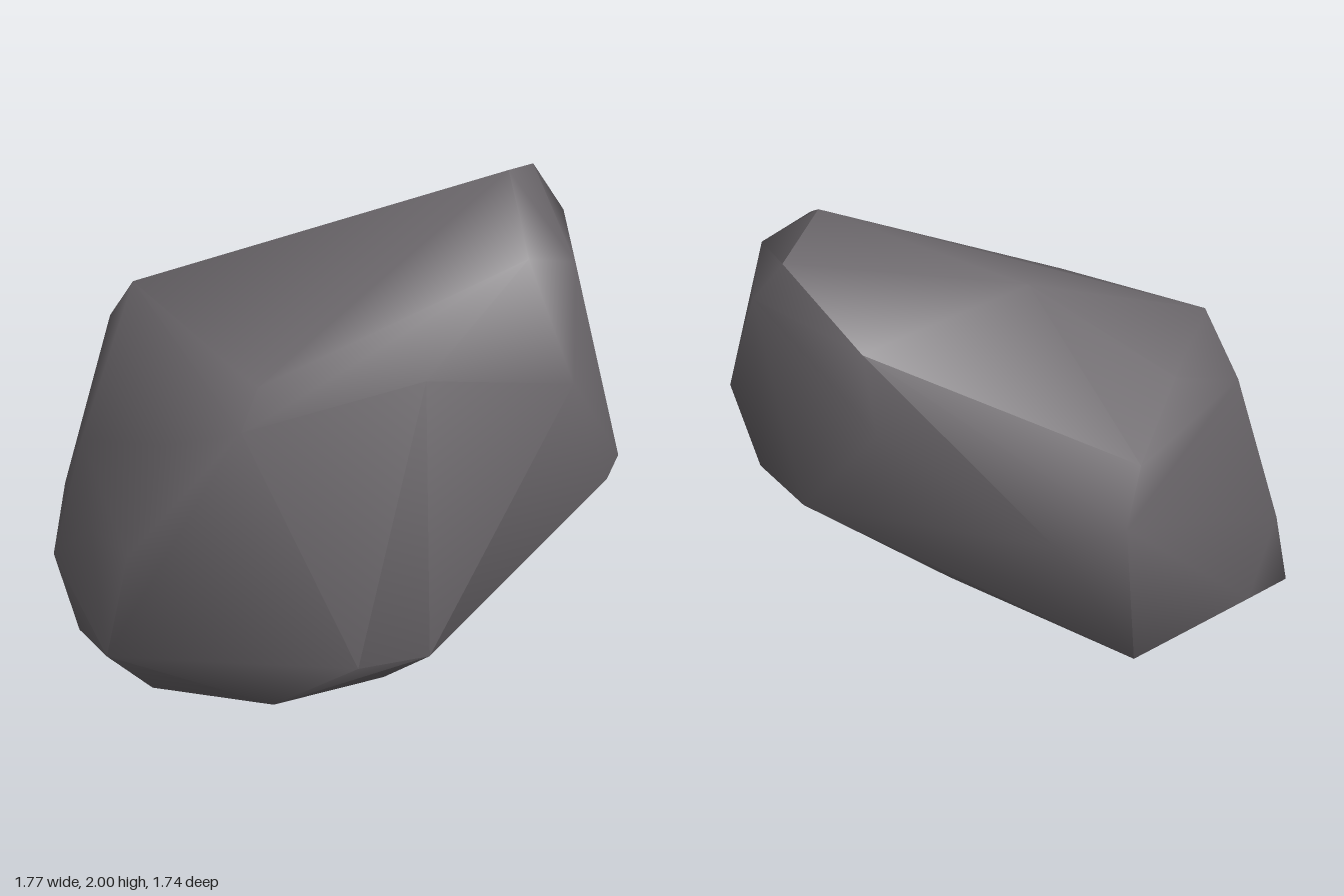
import * as THREE from 'three';
import { ConvexGeometry } from 'three/addons/geometries/ConvexGeometry.js';
import { toCreasedNormals } from 'three/addons/utils/BufferGeometryUtils.js';

const CENTRE = new THREE.Vector3(0, 1, 0);
const ROUNDING = 0.75;

// Changes a corner's distance from the centre by a power
const reshape = (v, power) => {
  v.sub(CENTRE);
  return v.multiplyScalar(v.length() ** (power - 1)).add(CENTRE);
};

// Wraps a skin round the corners in a rounder form, then returns them to
// their places, so that shallow hollows are kept
function wrapSkin(corners) {
  const skin = new ConvexGeometry(
    corners.map((p) => reshape(new THREE.Vector3(...p), ROUNDING)));
  const pos = skin.attributes.position;
  const v = new THREE.Vector3();
  for (let i = 0; i < pos.count; i++) {
    reshape(v.fromBufferAttribute(pos, i), 1 / ROUNDING);
    pos.setXYZ(i, v.x, v.y, v.z);
  }
  return toCreasedNormals(skin, 1.1);
}

export function createModel() {
  const group = new THREE.Group();
  group.name = 'boulder';

  const stone = new THREE.MeshStandardMaterial({ color: 0x686468 });
  stone.name = 'dark grey stone';

  // Key corners of the boulder, listed by region
  const peak = [
    [0.56, 2.0, 0.33], [0.8, 1.95, 0.16], [0.87, 1.79, 0.26],
    [0.41, 1.79, 0.66], [0.62, 1.74, 0.65], [0.71, 1.74, -0.18],
    [0.01, 1.74, -0.13],
  ];
  const rightSide = [
    [0.7, 1.44, -0.23], [0.88, 1.08, 0.29], [0.84, 1.03, 0.06],
    [0.71, 1.06, 0.83], [0.29, 0.79, -0.5],
  ];
  const front = [
    [0.63, 1.0, 0.87], [0.35, 0.8, 0.82], [-0.07, 0.47, 0.81],
    [-0.32, 0.46, 0.74], [0.5, 1.37, 0.82], [0.01, 1.42, 0.64],
    [0.54, 0.86, 0.7], [0.2, 0.48, 0.66],
  ];
  const leftSide = [
    [-0.48, 1.4, 0.35], [-0.58, 1.28, 0.41], [-0.72, 1.16, 0.12],
    [-0.82, 0.71, 0.0], [-0.89, 0.3, -0.06], [-0.56, 1.58, -0.4],
    [-0.76, 0.98, -0.47], [-0.82, 0.7, -0.3], [-0.75, 0.73, -0.66],
  ];
  const back = [
    [-0.56, 1.39, -0.6], [-0.3, 1.48, -0.57], [0.0, 1.35, -0.77],
    [0.13, 1.2, -0.87], [0.32, 1.12, -0.73], [-0.55, 0.5, -0.76],
    [-0.8, 0.43, -0.69], [-0.04, 0.44, -0.73],
  ];
  const base = [
    [-0.4, 0.0, -0.18], [-0.65, 0.04, -0.18], [-0.83, 0.23, -0.42],
    [-0.43, 0.16, 0.35], [-0.02, 0.2, 0.45], [0.2, 0.36, 0.12],
  ];

  const skin = wrapSkin([peak, rightSide, front, leftSide, back, base].flat());
  const rock = new THREE.Mesh(skin, stone);
  rock.name = 'rockBody';
  group.add(rock);
  return group;
}
